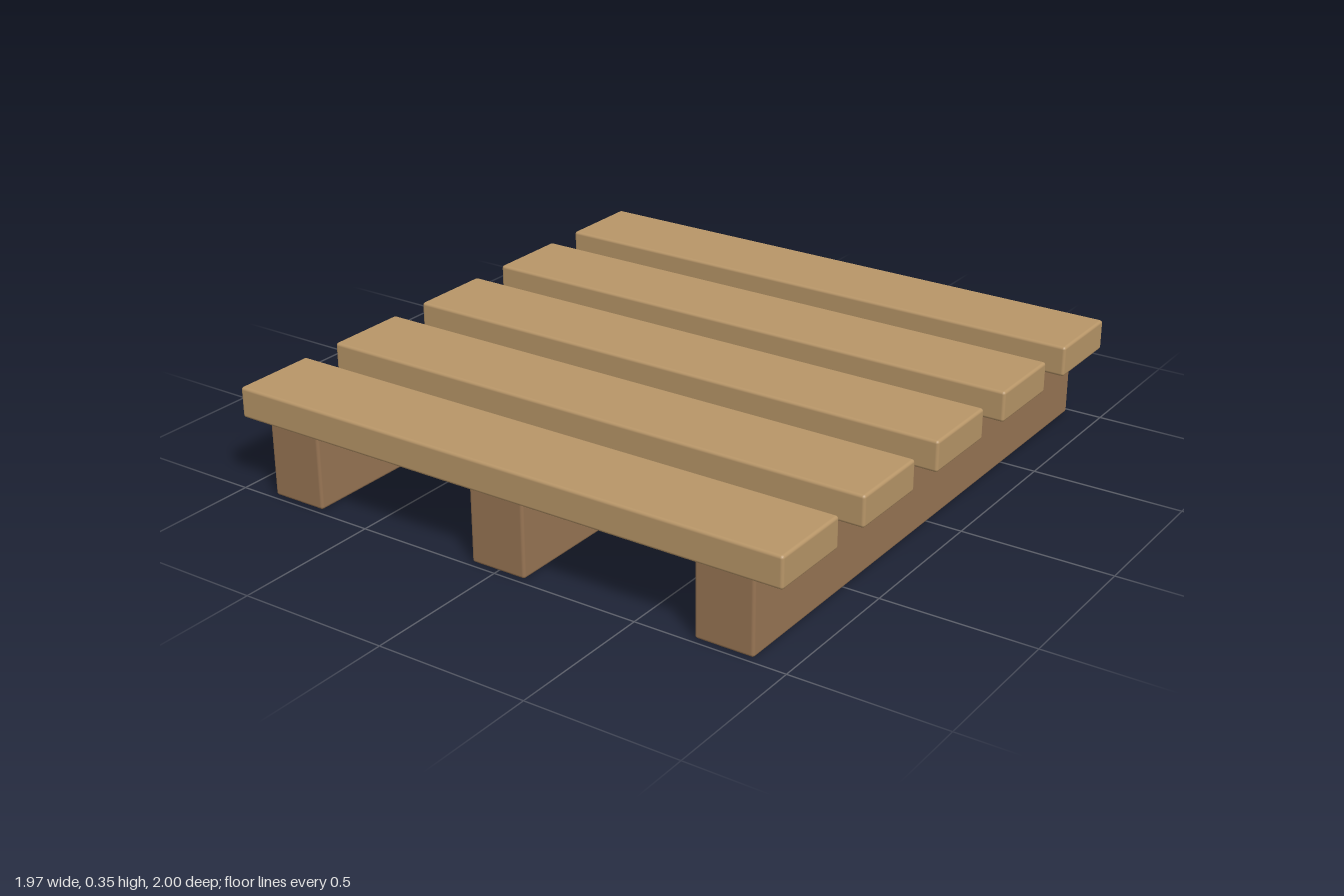
import * as THREE from 'three';
import { RoundedBoxGeometry } from 'three/addons/geometries/RoundedBoxGeometry.js';

export function createModel() {
  const model = new THREE.Group();
  model.name = 'pallet';

  const slatWood = new THREE.MeshStandardMaterial({ color: 0xb89668 });
  const beamWood = new THREE.MeshStandardMaterial({ color: 0x987554 });

  const addPart = (name, geometry, material, x, y, z) => {
    const mesh = new THREE.Mesh(geometry, material);
    mesh.name = name;
    mesh.position.set(x, y, z);
    model.add(mesh);
  };

  // Three support beams running front to back, slightly sunk into the slats
  const beam = new RoundedBoxGeometry(0.195, 0.265, 1.965, 2, 0.01);
  ['rightBeam', 'middleBeam', 'leftBeam'].forEach((name, i) => {
    addPart(name, beam, beamWood, (i - 1) * 0.787, 0.1325, 0);
  });

  // Five deck slats laid across the beams
  const slat = new RoundedBoxGeometry(1.965, 0.103, 0.29, 2, 0.01);
  for (let i = 0; i < 5; i++) {
    addPart(`deckSlat${i + 1}`, slat, slatWood, 0, 0.2985, (i - 2) * 0.4275);
  }

  return model;
}
